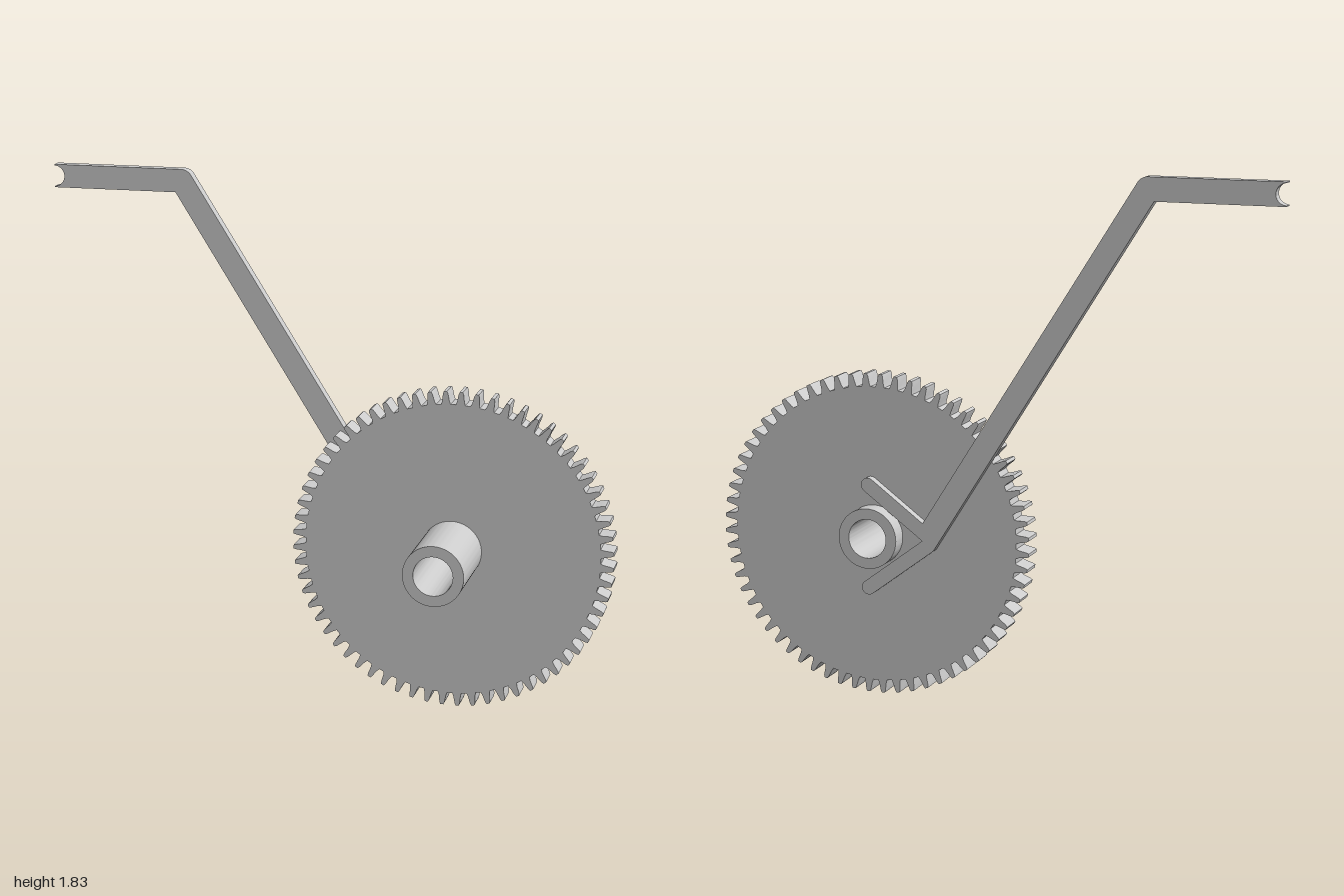
import * as THREE from 'three';
import { toCreasedNormals } from 'three/addons/utils/BufferGeometryUtils.js';

const CX = 0.435, CY = 0.565; // wheel axis
const TEETH = 64, ROOT = 0.517, TIP = 0.562;
const HUB_R = 0.105, BORE_R = 0.068;

function createModel() {
  const group = new THREE.Group();
  const material = new THREE.MeshStandardMaterial({ color: 0xcccccc });

  // Extrude a flat outline between two depths, keeping hard edges sharp
  const addPlate = (name, shape, z0, z1, curveSegments) => {
    const geometry = new THREE.ExtrudeGeometry(shape, { depth: z1 - z0, bevelEnabled: false, curveSegments });
    const mesh = new THREE.Mesh(toCreasedNormals(geometry, 0.5), material);
    mesh.name = name;
    mesh.position.z = z0;
    group.add(mesh);
  };
  const circleHole = (r) => new THREE.Path().absarc(CX, CY, r, 0, Math.PI * 2, true);

  // Toothed wheel: each tooth is [fraction of pitch, radius]
  const tooth = [
    [-0.32, ROOT], [-0.24, ROOT + 0.012], [-0.16, TIP - 0.008], [-0.1, TIP],
    [0.1, TIP], [0.16, TIP - 0.008], [0.24, ROOT + 0.012], [0.32, ROOT],
  ];
  const points = [];
  for (let i = 0; i < TEETH; i++) {
    for (const [f, r] of tooth) {
      const a = ((i + 0.5 + f) / TEETH) * Math.PI * 2;
      points.push(new THREE.Vector2(CX + r * Math.cos(a), CY + r * Math.sin(a)));
    }
  }
  const wheel = new THREE.Shape(points);
  wheel.holes.push(circleHole(HUB_R - 0.005));
  addPlate('gearWheel', wheel, -0.163, -0.08, 48);

  // Hollow hub through the wheel
  const hub = new THREE.Shape().absarc(CX, CY, HUB_R, 0, Math.PI * 2, false);
  hub.holes.push(circleHole(BORE_R));
  addPlate('hub', hub, -0.227, 0.227, 48);

  // Bent arm with a notched end and a fork straddling the hub
  const tilt = Math.atan2(0.534, 0.846); // normal of the sloping part
  const prong = Math.atan2(0.6, 0.8); // prong angle from horizontal
  const tipR = 0.025;
  const arm = new THREE.Shape();
  arm.moveTo(-1, 1.835);
  arm.lineTo(-0.54, 1.835);
  arm.absarc(-0.54, 1.795, 0.04, Math.PI / 2, tilt, true);
  arm.lineTo(0.245, 0.626);
  arm.absarc(0.445, CY + 0.18, tipR, prong + Math.PI / 2, prong - Math.PI / 2, true);
  arm.lineTo(0.247, CY);
  arm.absarc(0.445, CY - 0.18, tipR, Math.PI / 2 - prong, -Math.PI / 2 - prong, true);
  arm.lineTo(0.207, 0.532);
  arm.lineTo(-0.562, 1.755);
  arm.lineTo(-1, 1.755);
  arm.absarc(-1, 1.795, 0.036, -Math.PI / 2, Math.PI / 2, false);
  arm.closePath();
  addPlate('forkedArm', arm, -0.194, -0.154, 12);

  return group;
}

export { createModel };
